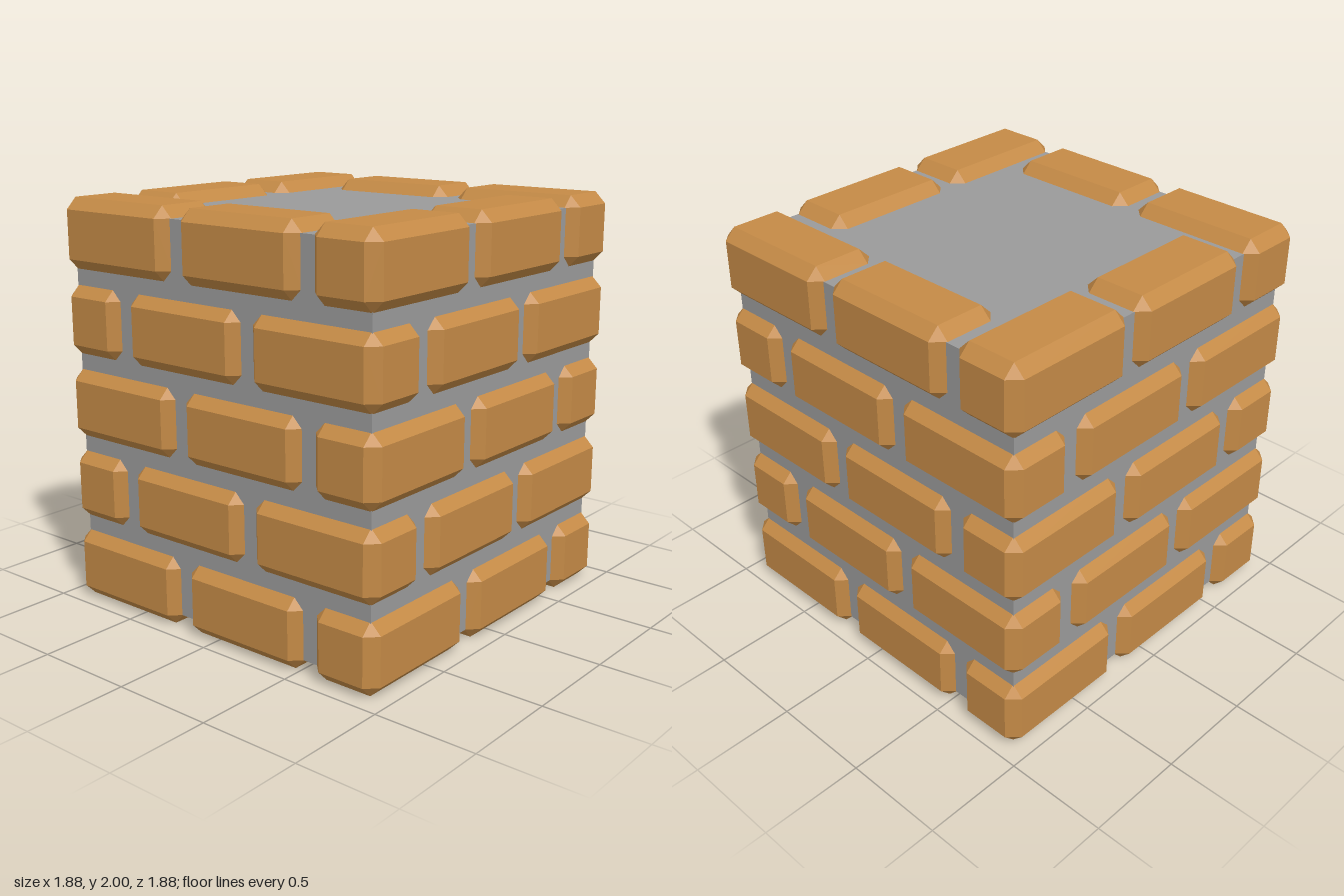
import * as THREE from 'three';
import { ConvexGeometry } from 'three/addons/geometries/ConvexGeometry.js';

const LENGTH = 0.7, HEIGHT = 0.345, DEPTH = 0.352;
const BEVEL = 0.055, HALF = 0.942, COURSES = 5;

// Box with flat bevels on every edge and triangular facets at the corners
function bevelledBox(w, h, d, b) {
  const points = [];
  for (const x of [-1, 1]) for (const y of [-1, 1]) for (const z of [-1, 1]) {
    for (let axis = 0; axis < 3; axis++) {
      const [i, j, k] = [0, 1, 2].map(a => (a === axis ? 0 : b));
      points.push(new THREE.Vector3(x * (w / 2 - i), y * (h / 2 - j), z * (d / 2 - k)));
    }
  }
  return new ConvexGeometry(points);
}

export function createModel() {
  const group = new THREE.Group();
  const brickMaterial = new THREE.MeshStandardMaterial({ color: 0xc48a46 });
  brickMaterial.name = 'brick';
  brickMaterial.flatShading = true;
  const mortarMaterial = new THREE.MeshStandardMaterial({ color: 0x9a9a9a });
  mortarMaterial.name = 'mortar';

  // Solid core set back behind the bricks
  const side = 2 * (HALF - 0.05);
  const core = new THREE.Mesh(new THREE.BoxGeometry(side, 1.89, side), mortarMaterial);
  core.name = 'mortarCore';
  core.position.y = 1;
  group.add(core);

  // Each course is a pinwheel of two bricks per wall; odd courses turn the other way
  const brickGeometry = bevelledBox(LENGTH, HEIGHT, DEPTH, BEVEL);
  const pitch = (2 - HEIGHT) / (COURSES - 1);
  for (let c = 0; c < COURSES; c++) {
    const course = new THREE.Group();
    course.name = `course${c + 1}`;
    course.position.y = HEIGHT / 2 + c * pitch;
    const mirror = c % 2 ? -1 : 1;
    for (let w = 0; w < 4; w++) {
      const wall = new THREE.Group();
      wall.name = `wall${w + 1}`;
      wall.rotation.y = w * Math.PI / 2;
      for (const x of [-HALF + LENGTH / 2, 0.172]) {
        const brick = new THREE.Mesh(brickGeometry, brickMaterial);
        brick.name = 'brick';
        brick.position.set(mirror * x, 0, HALF - DEPTH / 2);
        wall.add(brick);
      }
      course.add(wall);
    }
    group.add(course);
  }
  return group;
}
